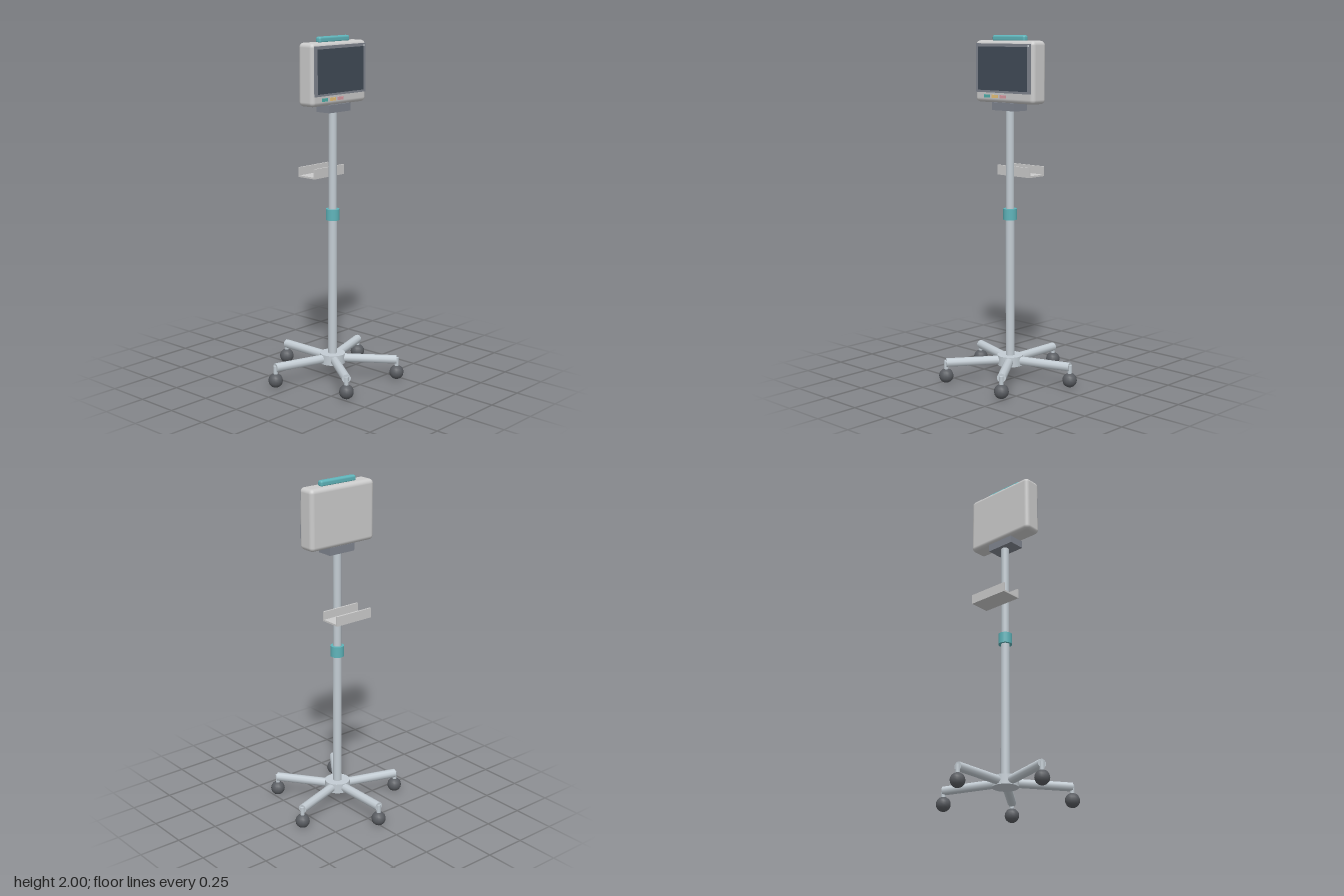
import * as THREE from 'three';
import { RoundedBoxGeometry } from 'three/addons/geometries/RoundedBoxGeometry.js';

const AXIS_Z = 0.035; // depth of the pole axis

export function createModel() {
  const root = new THREE.Group();
  root.name = 'monitorStand';

  const mat = (color) => new THREE.MeshStandardMaterial({ color });
  const grey = mat(0xcccccc);
  const metal = mat(0xc3ccd3);
  const dark = mat(0x5a5d62);
  const slate = mat(0x80858f);
  const teal = mat(0x5fb4ba);

  function add(name, geometry, material, x, y, z, parent = root) {
    const mesh = new THREE.Mesh(geometry, material);
    mesh.name = name;
    mesh.position.set(x, y, z);
    parent.add(mesh);
    return mesh;
  }
  const box = (name, w, h, d, material, x, y, z) =>
    add(name, new THREE.BoxGeometry(w, h, d), material, x, y, z);
  const post = (name, r, y0, y1, material, sides = 20) =>
    add(name, new THREE.CylinderGeometry(r, r, y1 - y0, sides), material, 0, (y0 + y1) / 2, AXIS_Z);

  // Five-legged base: one leg points straight back
  const reach = 0.378;
  for (let i = 0; i < 5; i++) {
    const leg = new THREE.Group();
    leg.name = 'baseLeg' + (i + 1);
    leg.position.z = AXIS_Z;
    leg.rotation.y = Math.PI + (i * Math.PI * 2) / 5;
    const tube = new THREE.CylinderGeometry(0.026, 0.026, reach, 10);
    tube.rotateX(Math.PI / 2);
    add('legTube', tube, metal, 0, 0.119, reach / 2, leg);
    add('casterStem', new THREE.CylinderGeometry(0.013, 0.013, 0.06, 10), metal, 0, 0.1, reach, leg);
    add('casterBall', new THREE.SphereGeometry(0.042, 14, 10), dark, 0, 0.042, reach, leg);
    root.add(leg);
  }
  post('baseHub', 0.075, 0.09, 0.148, metal, 24);

  // Telescopic pole with height clamp
  post('lowerPole', 0.026, 0.12, 0.98, metal);
  post('upperPole', 0.0235, 0.96, 1.59, metal);
  post('heightClamp', 0.04, 0.95, 1.014, teal);

  // Accessory tray: open U channel behind the pole
  box('trayFloor', 0.25, 0.01, 0.126, grey, 0, 1.203, -0.053);
  for (const z of [0.005, -0.111]) box('trayLip', 0.25, 0.057, 0.01, grey, 0, 1.2265, z);

  // Display housing on its mounting block
  box('mountBlock', 0.176, 0.045, 0.1, slate, 0, 1.6, 0.04);
  add('displayHousing', new RoundedBoxGeometry(0.452, 0.35, 0.112, 4, 0.025), grey, 0, 1.795, 0.034);
  box('screenBezel', 0.42, 0.276, 0.008, slate, 0, 1.815, 0.092);
  box('screenPanel', 0.376, 0.246, 0.009, mat(0x414b57), -0.002, 1.813, 0.097);
  box('statusLight', 0.01, 0.01, 0.006, mat(0xd8e0e4), 0.195, 1.942, 0.095);

  // Control buttons
  [0x4fb0aa, 0xe8c27a, 0xd99aa2].forEach((color, i) =>
    box('button' + (i + 1), 0.042, 0.018, 0.012, mat(color), -0.127 + i * 0.063, 1.656, 0.091));

  // Carry handle
  add('carryHandle', new RoundedBoxGeometry(0.25, 0.036, 0.036, 3, 0.012), teal, 0, 1.982, AXIS_Z);

  return root;
}
